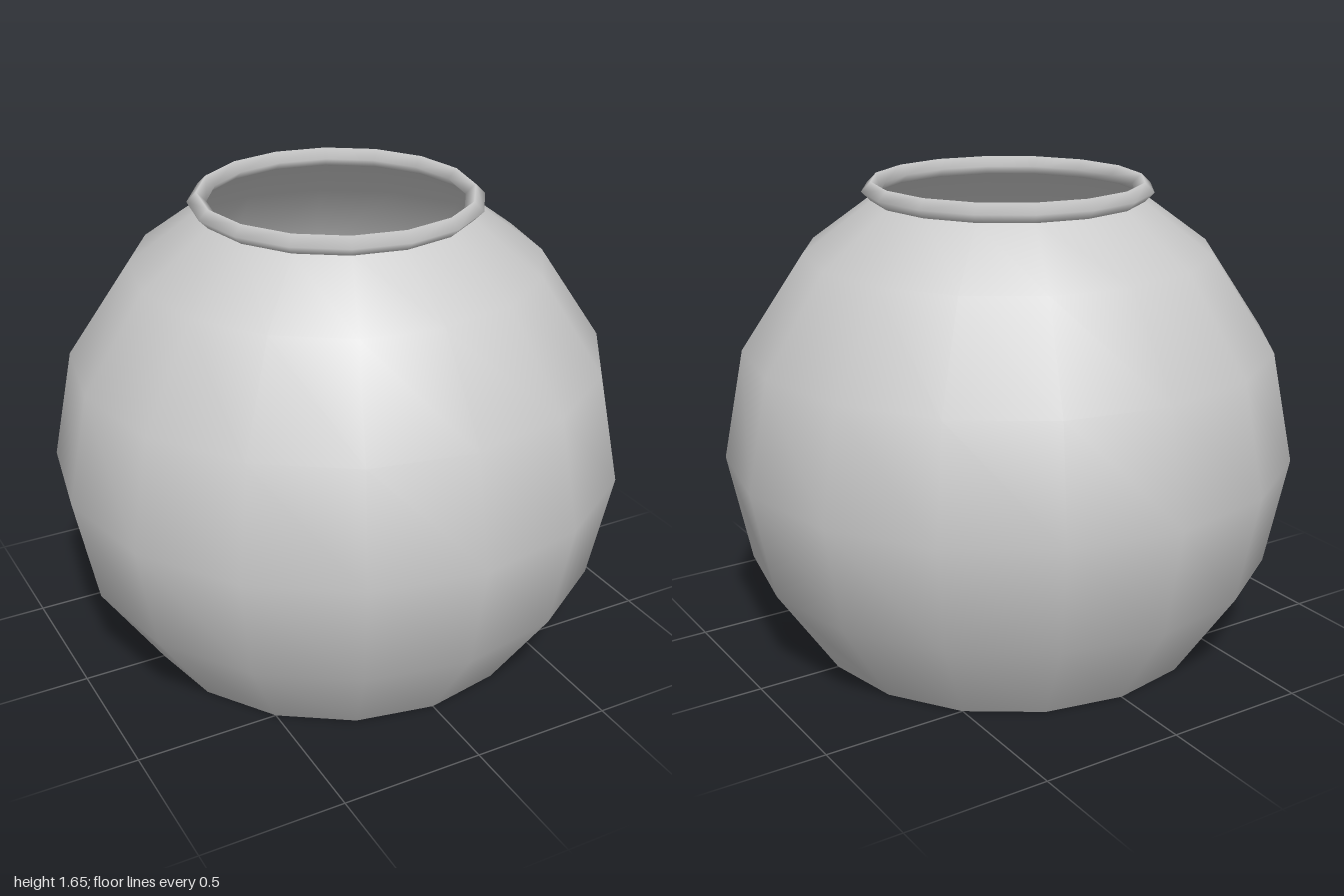
import * as THREE from 'three';

const SIDES = 16;
const CENTRE_Y = Math.SQRT1_2; // sphere cut off 45 degrees below its equator

export function createModel() {
  const group = new THREE.Group();
  const material = new THREE.MeshStandardMaterial({ color: 0xcccccc, side: THREE.DoubleSide });

  const add = (name, geometry, y) => {
    const mesh = new THREE.Mesh(geometry, material);
    mesh.name = name;
    mesh.position.y = y;
    group.add(mesh);
    return mesh;
  };

  // Thin round shell, open at the neck
  const profile = [-45, -22.5, 0, 22.5, 45, 62.15].map((deg) => {
    const a = THREE.MathUtils.degToRad(deg);
    return new THREE.Vector2(Math.cos(a), Math.sin(a));
  });
  add('bowl', new THREE.LatheGeometry(profile, SIDES), CENTRE_Y);

  // Flat floor closing the cut underside
  const floor = new THREE.CircleGeometry(Math.SQRT1_2, SIDES);
  floor.rotateX(Math.PI / 2);
  add('floor', floor, 0);

  // Rolled lip around the opening
  const lip = new THREE.TorusGeometry(0.468, 0.033, 4, SIDES);
  lip.rotateX(Math.PI / 2);
  add('lip', lip, 1.621);

  return group;
}
